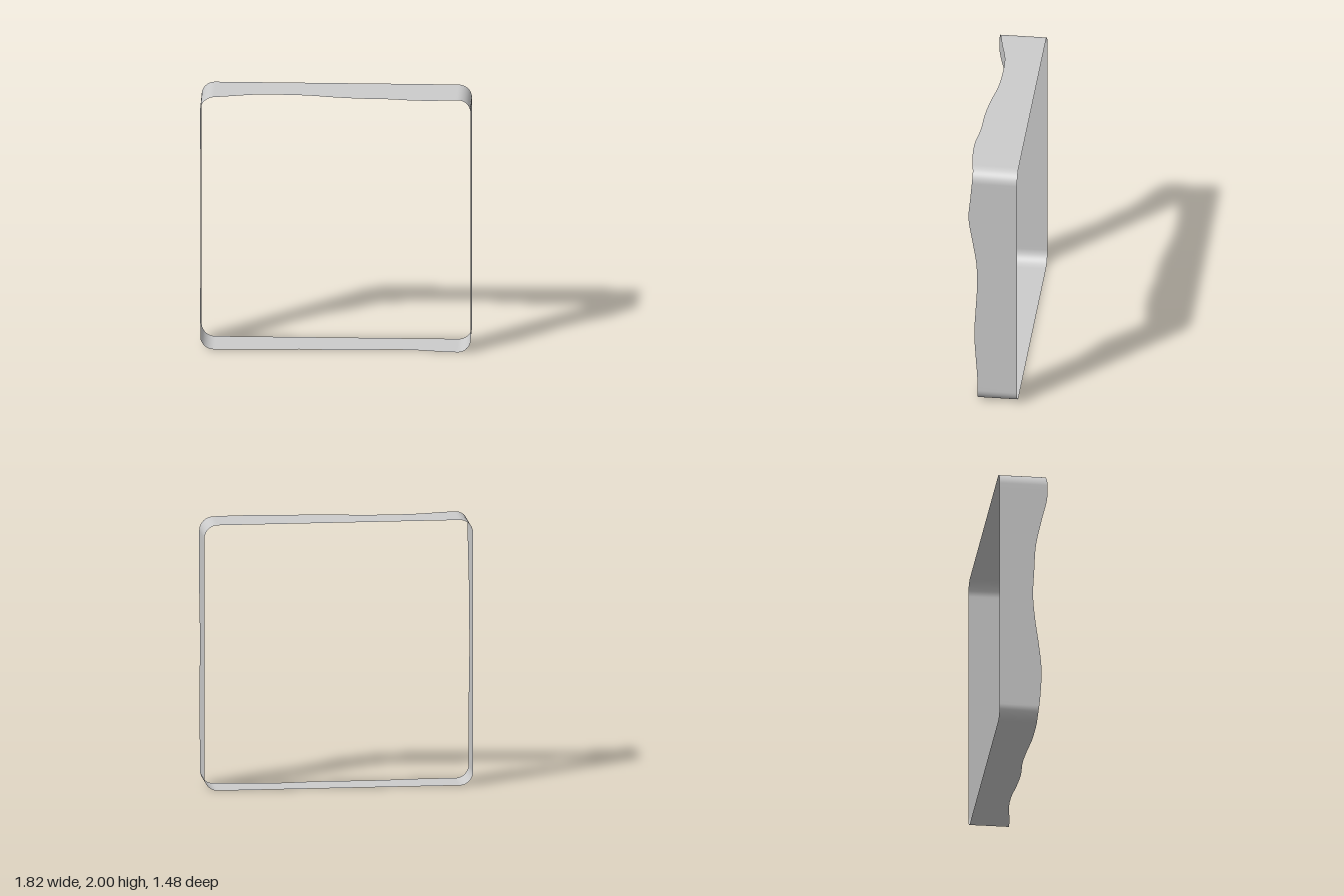
import * as THREE from 'three';

const SIZE = 2, RADIUS = 0.1, BACK = -0.182;

// Band depth at even steps (0.2) around the square loop, starting at the lower left corner
const DEPTHS = [
  0.288, 0.305, 0.312, 0.292, 0.265, 0.249, 0.258, 0.27, 0.31, 0.355, // left, going up
  0.35, 0.315, 0.272, 0.266, 0.277, 0.311, 0.332, 0.338, 0.361, 0.355, // top, going right
  0.333, 0.345, 0.361, 0.332, 0.302, 0.298, 0.308, 0.318, 0.308, 0.295, // right, going down
  0.295, 0.284, 0.255, 0.25, 0.268, 0.276, 0.264, 0.272, 0.287, 0.29, // bottom, going left
];

// Smooth periodic interpolation of the depth at loop distance s
function depthAt(s) {
  const n = DEPTHS.length, t = (s / (4 * SIZE)) * n + n;
  const i = Math.floor(t), f = t - i;
  const [a, b, c, d] = [-1, 0, 1, 2].map((k) => DEPTHS[(i + k + n) % n]);
  return b + 0.5 * f * (c - a + f * (2 * a - 5 * b + 4 * c - d + f * (3 * (b - c) + d - a)));
}

// Points of the rounded square (x, y) with their loop distance s
function loopPoints() {
  const points = [], h = SIZE / 2, straight = 40, arc = 12;
  for (let side = 0; side < 4; side++) {
    const turn = -side * Math.PI / 2;
    const add = (x, y, s) => {
      const p = new THREE.Vector2(x, y).rotateAround(new THREE.Vector2(), turn);
      points.push({ x: p.x, y: p.y + h, s: side * SIZE + s });
    };
    // straight run
    for (let i = 0; i < straight; i++) {
      const s = RADIUS + (SIZE - 2 * RADIUS) * i / straight;
      add(-h, s - h, s);
    }
    // rounded corner
    for (let i = 0; i < arc; i++) {
      const a = (i / arc) * Math.PI / 2;
      add(-h + RADIUS * (1 - Math.cos(a)), h - RADIUS * (1 - Math.sin(a)), SIZE - RADIUS + 2 * RADIUS * i / arc);
    }
  }
  return points;
}

// Thin band: straight back edge, wavy front edge
function bandGeometry() {
  const points = loopPoints(), n = points.length, positions = [], index = [];
  points.forEach(({ x, y, s }, i) => {
    positions.push(x, y, BACK, x, y, BACK + depthAt(s));
    const a = 2 * i, b = 2 * ((i + 1) % n);
    index.push(a, a + 1, b, b, a + 1, b + 1);
  });
  const geometry = new THREE.BufferGeometry();
  geometry.setAttribute('position', new THREE.Float32BufferAttribute(positions, 3));
  geometry.setIndex(index);
  geometry.computeVertexNormals();
  return geometry;
}

export function createModel() {
  const group = new THREE.Group();
  group.name = 'wavyFrame';
  const material = new THREE.MeshStandardMaterial({ color: 0xcccccc, side: THREE.DoubleSide });
  const band = new THREE.Mesh(bandGeometry(), material);
  band.name = 'frameBand';
  band.rotation.y = Math.atan2(0.597, 0.802);
  group.add(band);
  return group;
}
